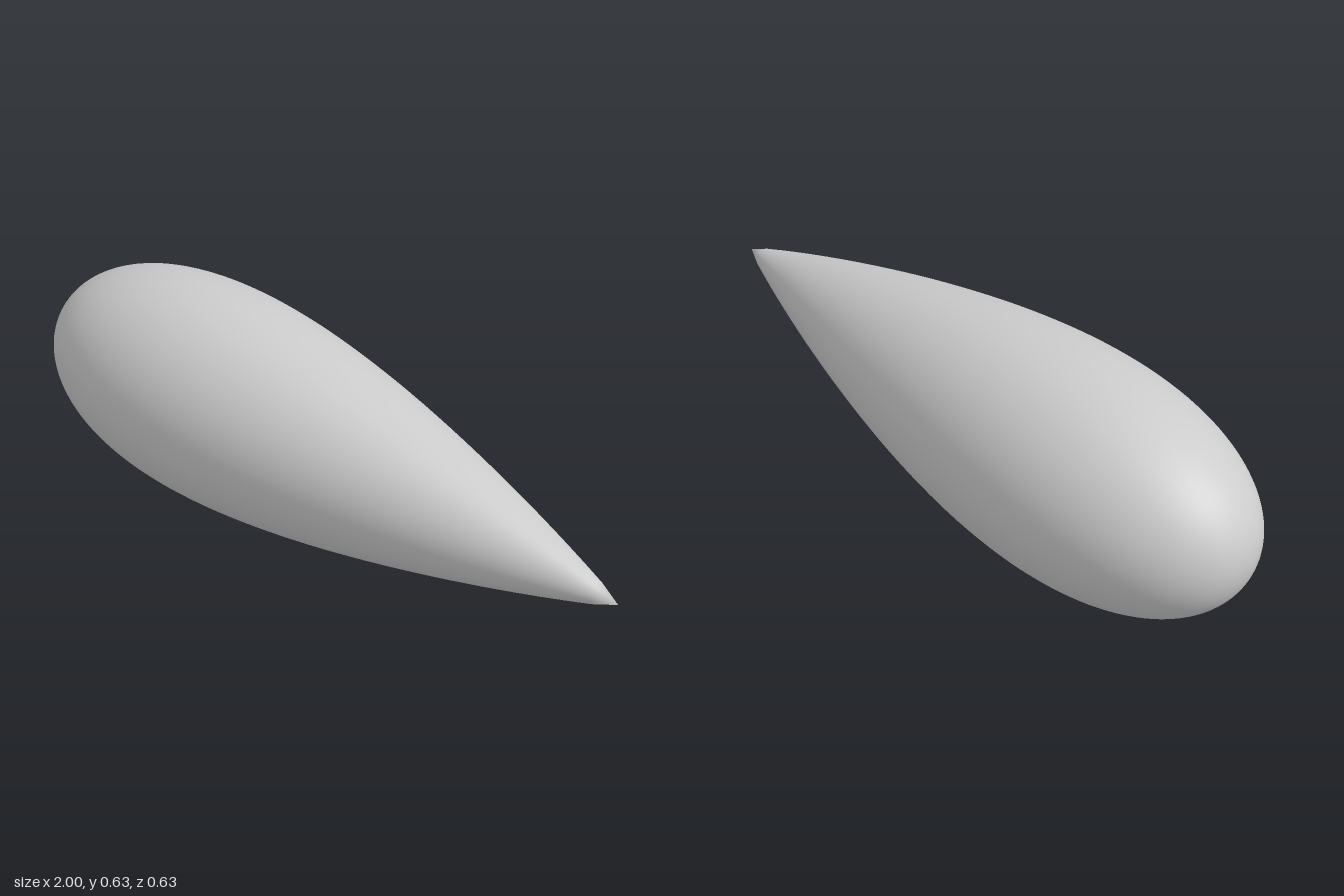
import * as THREE from 'three';

const LENGTH = 2, RADIUS = 0.315, STEPS = 60;

// Streamlined half-thickness at t = 0 (blunt nose) .. 1 (tail)
function radiusAt(t) {
  return 10 * RADIUS * (0.2969 * Math.sqrt(t) - 0.126 * t - 0.3516 * t ** 2 + 0.2843 * t ** 3 - 0.1015 * t ** 4);
}

export function createModel() {
  const group = new THREE.Group();
  group.name = 'teardrop';

  // Profile, closer steps at the nose, closed on the axis at both ends
  const profile = [];
  for (let i = 0; i <= STEPS; i++) {
    const t = (i / STEPS) ** 2;
    const r = i === 0 || i === STEPS ? 0 : radiusAt(t);
    profile.push(new THREE.Vector2(r, (t - 0.5) * LENGTH));
  }
  const geometry = new THREE.LatheGeometry(profile, 96);

  // Point the pole normals along the axis so both ends shade smoothly
  const { position, normal } = geometry.attributes;
  for (let i = 0; i < position.count; i++) {
    const end = i % (STEPS + 1);
    if (end === 0) normal.setXYZ(i, 0, -1, 0);
    if (end === STEPS) normal.setXYZ(i, 0, 1, 0);
  }

  // Lay the body along x, tail towards +x
  geometry.rotateZ(-Math.PI / 2);
  geometry.translate(0, RADIUS, 0);

  const body = new THREE.Mesh(geometry, new THREE.MeshStandardMaterial({ color: 0xcccccc }));
  body.name = 'streamlinedBody';
  group.add(body);
  return group;
}
